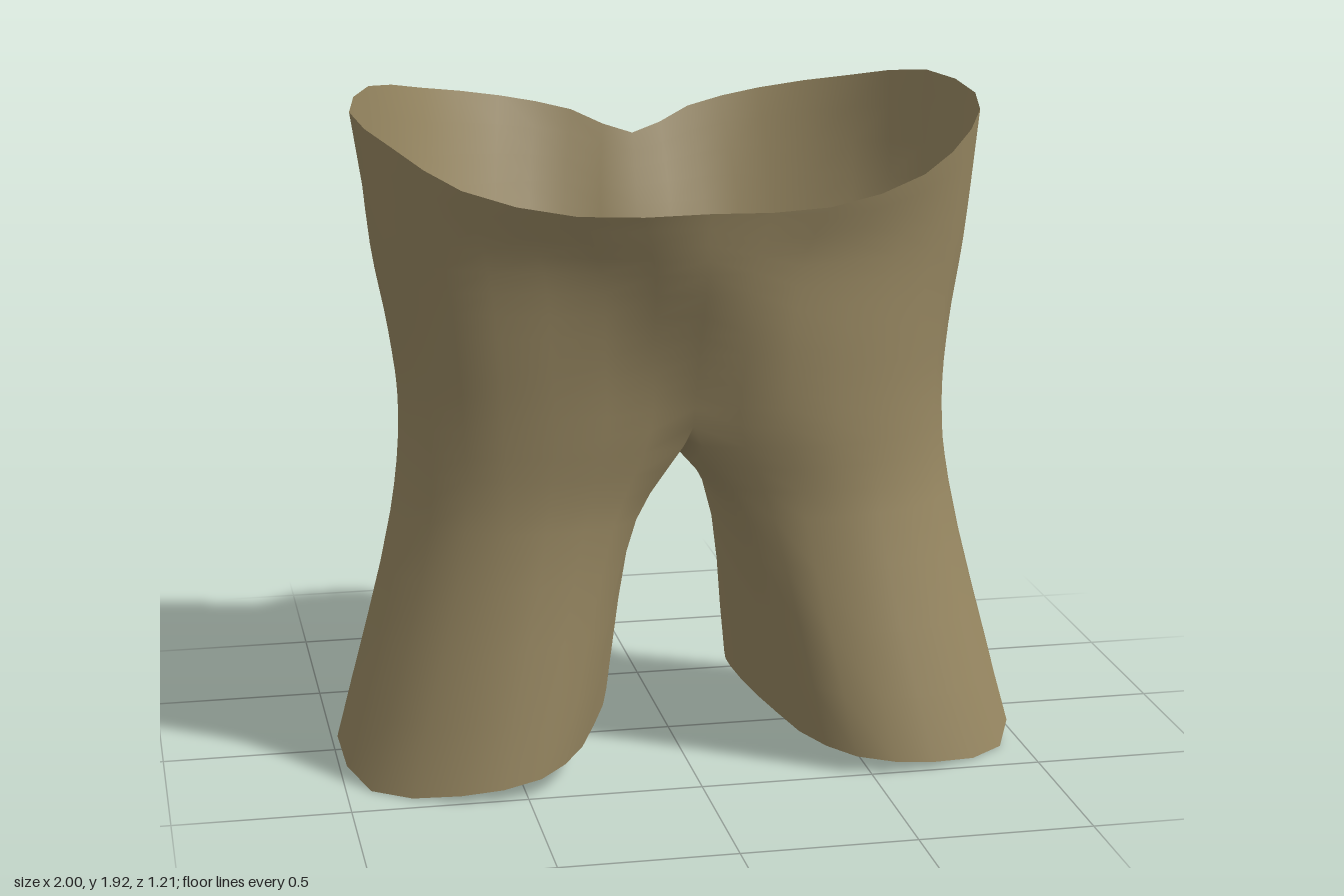
import * as THREE from 'three';
import { mergeVertices } from 'three/addons/utils/BufferGeometryUtils.js';

const SPLIT = 2; // subdivisions between control points around the body
const STEPS = 4; // subdivisions between rows
const CROTCH = 3; // row where the legs part

// Left half rings, front centre -> side -> back centre; leg rings go on round the inner leg
const rim = [[0, 1.68, .6], [.35, 1.67, .52], [.65, 1.73, .4], [.82, 1.83, .27], [.91, 1.89, 0],
  [.83, 1.925, -.24], [.65, 1.88, -.47], [.4, 1.83, -.6], [.18, 1.78, -.605], [0, 1.71, -.56]];
const hip = [[0, .37], [.26, .43], [.54, .39], [.73, .26], [.8, .08],
  [.76, -.06], [.6, -.21], [.4, -.34], [.2, -.385], [0, -.34]];
const crotch = [[0, .93, -.2], [0, .9, 0], [0, .92, .2]];
const thigh = [[.16, .33], [.32, .4], [.54, .4], [.74, .28], [.83, .09],
  [.78, -.06], [.63, -.21], [.45, -.33], [.3, -.37], [.18, -.28],
  [.13, -.15], [.11, 0], [.12, .18]];
const hem = [[.32, .09, .35], [.46, .05, .48], [.69, .02, .49], [.93, 0, .35], [1, .08, .1],
  [.91, .14, -.1], [.73, .16, -.25], [.5, .165, -.37], [.36, .165, -.37], [.26, .17, -.27],
  [.2, .18, -.13], [.19, .18, 0], [.23, .15, .18]];

// Hip ring at another height: belly pushed out at the front centre, seat pushed back
const hipRow = (y, widen, belly, seat) => hip.map(([x, z]) =>
  [x * widen, y, z > 0.07 ? z + belly * Math.max(0, 1 - x / 0.35) : z - seat]);

const COLS = hip.length;
const waistRows = [rim, hipRow(1.5, 1.07, .19, .15), hipRow(1.25, 1.02, .08, .08), hipRow(1.03, 1, 0, 0)];
const legRows = [[...waistRows[CROTCH], ...crotch], thigh.map(([x, z]) => [x, .75, z]), hem];

// Points on a smooth curve through the first `spans` gaps of its control points
function sample(points, closed, spans, parts) {
  const curve = new THREE.CatmullRomCurve3(points.map((p) => new THREE.Vector3(...p)), closed);
  const gaps = closed ? points.length : points.length - 1;
  return Array.from({ length: spans * parts + 1 }, (_, i) => curve.getPoint(i / parts / gaps));
}

// Smooth every column of a set of rows, giving finer rows
function refineRows(rows) {
  const columns = rows[0].map((_, c) => sample(rows.map((r) => r[c]), false, rows.length - 1, STEPS));
  return columns[0].map((_, r) => columns.map((col) => col[r]));
}

function buildGeometry() {
  // Waist rows close through their mirror image, leg rows through the inner leg
  const mirrored = (row) => row.slice(1, -1).reverse().map(([x, y, z]) => [-x, y, z]);
  const loops = [...waistRows.map((row) => [...row, ...mirrored(row)]), ...legRows.slice(1)];
  const outer = refineRows(loops.map((loop) => sample(loop, true, COLS - 1, SPLIT)));
  const inner = refineRows(legRows.map((row) => {
    const path = [...row.slice(COLS - 1), row[0]];
    return sample(path, false, path.length - 1, SPLIT);
  }));

  // Keep the centre seam on x = 0 and share the edges of the inner leg
  outer.forEach((row, r) => {
    for (const p of [row[0], row[row.length - 1]]) p.x = r <= CROTCH * STEPS ? 0 : Math.max(0, p.x);
  });
  inner.forEach((row, r) => {
    const edge = outer[r + CROTCH * STEPS];
    row[0] = edge[edge.length - 1];
    row[row.length - 1] = edge[0];
  });

  // Skin both grids, then their mirror images with the corners reversed
  const positions = [];
  for (const side of [1, -1]) {
    for (const grid of [outer, inner]) {
      for (let r = 0; r < grid.length - 1; r++) {
        for (let c = 0; c < grid[r].length - 1; c++) {
          const a = grid[r][c], b = grid[r + 1][c], d = grid[r + 1][c + 1], e = grid[r][c + 1];
          const corners = side > 0 ? [a, b, d, a, d, e] : [a, d, b, a, e, d];
          for (const p of corners) positions.push(p.x * side, p.y, p.z);
        }
      }
    }
  }
  const geometry = new THREE.BufferGeometry();
  geometry.setAttribute('position', new THREE.Float32BufferAttribute(positions, 3));
  const welded = mergeVertices(geometry, 1e-4);
  welded.computeVertexNormals();
  return welded;
}

export function createModel() {
  const cloth = new THREE.MeshStandardMaterial({ color: 0x988862, side: THREE.DoubleSide });
  cloth.name = 'khaki cloth';

  // Open cloth shell: waist, seat and two legs
  const shorts = new THREE.Mesh(buildGeometry(), cloth);
  shorts.name = 'shorts';

  const group = new THREE.Group();
  group.name = 'shortTrousers';
  group.add(shorts);
  return group;
}
